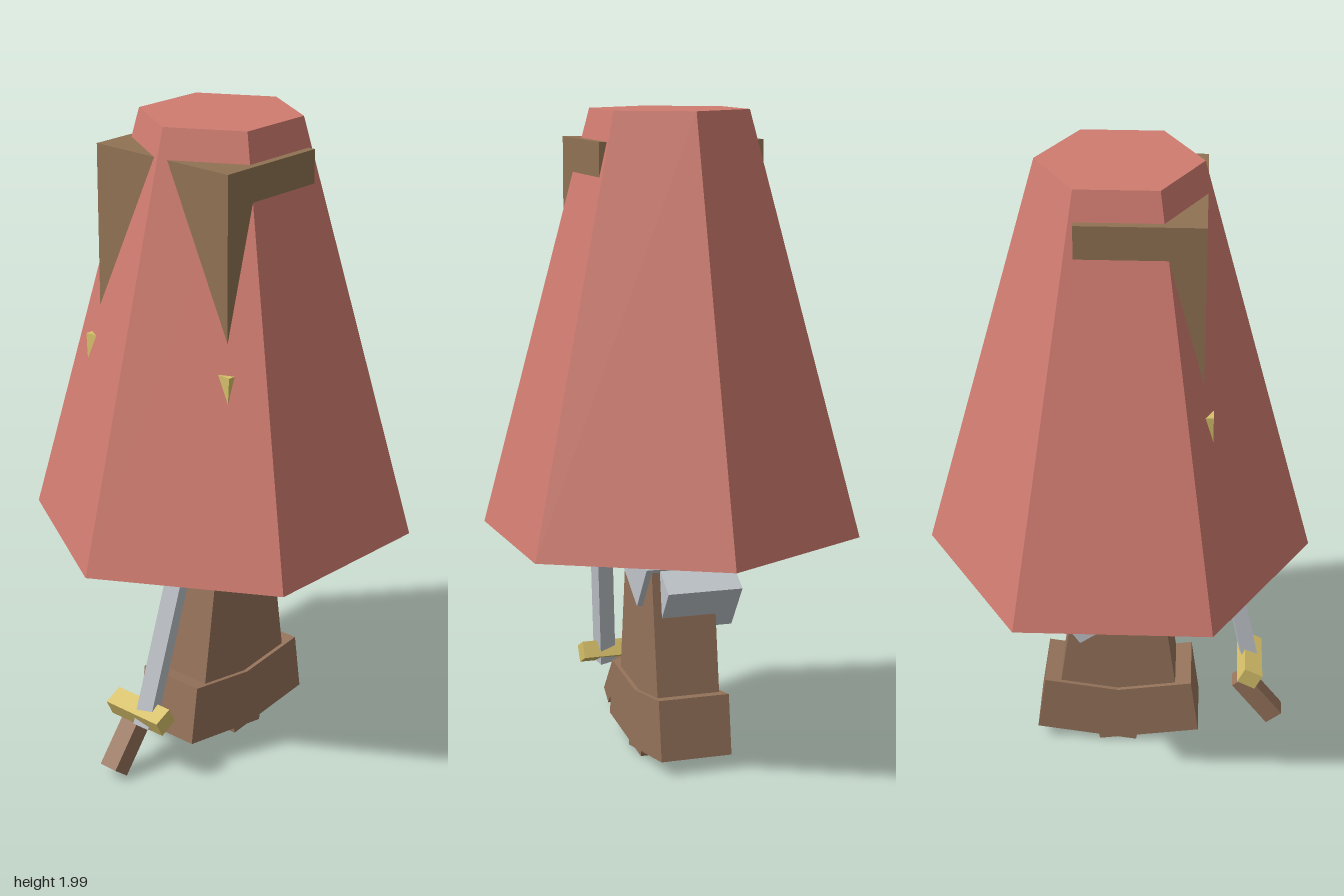
import * as THREE from 'three';

export function createModel() {
  const root = new THREE.Group();
  const mat = (name, color) => {
    const m = new THREE.MeshStandardMaterial({ color, flatShading: true });
    m.name = name;
    return m;
  };
  const red = mat('cloak red', 0xd07c70);
  const tan = mat('shoulder brown', 0x907253);
  const leather = mat('leather brown', 0x95735a);
  const silver = mat('silver', 0xc0c5ca);
  const gold = mat('gold', 0xd6c06a);

  const add = (name, geo, material, pos = [0, 0, 0], parent = root) => {
    const mesh = new THREE.Mesh(geo, material);
    mesh.name = name;
    mesh.position.set(...pos);
    parent.add(mesh);
    return mesh;
  };
  const box = (name, size, pos, material, parent) =>
    add(name, new THREE.BoxGeometry(...size), material, pos, parent);

  // Square bar running between two points
  const bar = (name, a, b, w, d, material, twist = 0) => {
    const p = new THREE.Vector3(...a), q = new THREE.Vector3(...b);
    const dir = q.clone().sub(p);
    const mesh = box(name, [w, dir.length(), d], p.clone().add(q).multiplyScalar(0.5).toArray(), material);
    mesh.quaternion.setFromUnitVectors(new THREE.Vector3(0, 1, 0), dir.normalize());
    mesh.rotateY(twist);
    return mesh;
  };

  // Six-sided cloak with a ridge at the front
  add('cloak', new THREE.CylinderGeometry(0.245, 0.592, 1.29, 6), red, [0, 1.355, 0]);

  // Shoulder block poking through the cloak, and the torso closing its underside
  box('shoulders', [0.514, 0.6, 0.375], [0, 1.61, 0.067], tan);
  box('torso', [0.38, 0.5, 0.48], [0, 0.957, 0], tan);

  // Clasps on the two front faces
  for (const s of [-1, 1]) {
    const clasp = box(s > 0 ? 'leftClasp' : 'rightClasp', [0.06, 0.09, 0.06], [s * 0.257, 1.28, 0.254], gold);
    clasp.rotation.z = s * -0.05;
  }

  // Legs swinging forward and back from one hip, with boots
  for (const s of [-1, 1]) {
    const leg = new THREE.Group();
    leg.name = s > 0 ? 'backLeg' : 'frontLeg';
    leg.position.y = 0.74;
    leg.rotation.x = s * 0.14;
    root.add(leg);
    box('shin', [0.2, 0.56, 0.22], [0, -0.27, 0], leather, leg);
    box('boot', [0.226, 0.187, 0.322], [0, -0.6255, 0], leather, leg);
  }

  // Tilted silver plates at the hips
  for (const [name, pos] of [
    ['frontHipPlate', [0, 0.644, 0.042]],
    ['backHipPlate', [-0.045, 0.583, -0.032]],
  ]) {
    box(name, [0.238, 0.165, 0.323], pos, silver).rotation.x = -0.61;
  }

  // Sword held in front
  bar('blade', [0.077, 0.178, 0.43], [0.119, 0.645, 0.327], 0.054, 0.05, silver, 0.2);
  box('guard', [0.212, 0.055, 0.063], [0.053, 0.214, 0.424], gold).rotation.x = 0.46;
  bar('grip', [0.016, 0.03, 0.508], [0.016, 0.178, 0.393], 0.064, 0.062, leather);

  return root;
}
